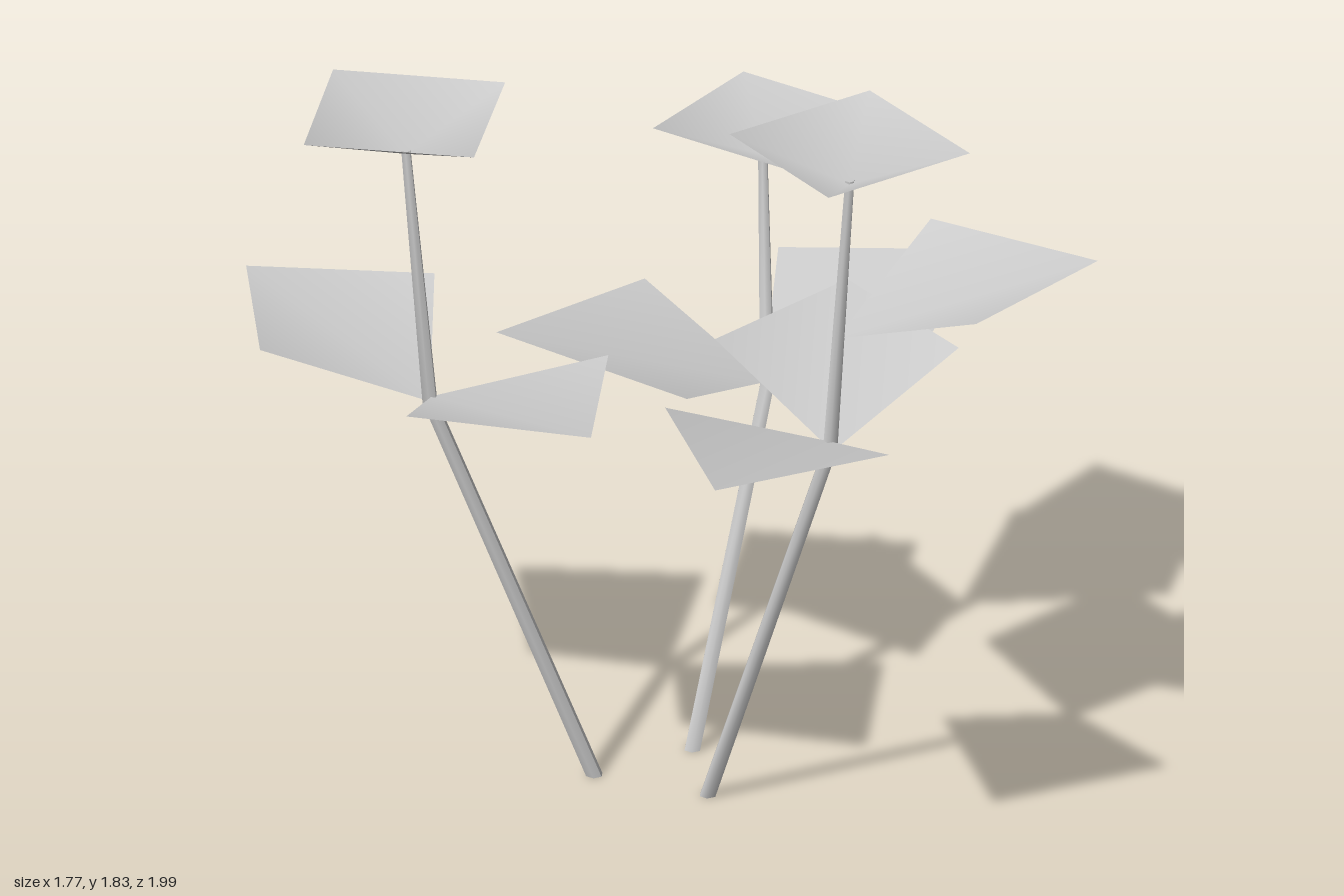
import * as THREE from 'three';

const stemMaterial = new THREE.MeshStandardMaterial({ color: 0xcccccc });
const leafMaterial = new THREE.MeshStandardMaterial({ color: 0xcccccc, side: THREE.DoubleSide });

// Bent, tapering six-sided stem: horizontal rings at base, bend and tip.
function makeStem(points) {
  const geometry = new THREE.CylinderGeometry(1, 1, 2, 6, 2);
  const radii = [0.021, 0.019, 0.012];
  const pos = geometry.attributes.position;
  for (let i = 0; i < pos.count; i++) {
    const ring = Math.round(pos.getY(i)) + 1;
    const [x, y, z] = points[ring];
    pos.setXYZ(i, x + pos.getX(i) * radii[ring], y, z + pos.getZ(i) * radii[ring]);
  }
  geometry.computeVertexNormals();
  const mesh = new THREE.Mesh(geometry, stemMaterial);
  mesh.name = 'stem';
  return mesh;
}

// Thin leaf fanned out from its low attachment point to rim corners [x, z].
// Three corners make a side leaf folded on its midrib, four a cupped top leaf.
function makeLeaf(root, rimY, corners) {
  const vertices = [...root];
  corners.forEach(([x, z]) => vertices.push(x, rimY, z));
  const index = [];
  for (let i = 1; i < corners.length; i++) index.push(0, i, i + 1);
  if (corners.length === 4) index.push(0, 4, 1);
  const geometry = new THREE.BufferGeometry();
  geometry.setAttribute('position', new THREE.Float32BufferAttribute(vertices, 3));
  geometry.setIndex(index);
  geometry.computeVertexNormals();
  const mesh = new THREE.Mesh(geometry, leafMaterial);
  mesh.name = corners.length === 4 ? 'topLeaf' : 'sideLeaf';
  return mesh;
}

const plants = [
  {
    name: 'leftPlant',
    stem: [[-0.02, 0, 0.01], [0.285, 0.83, 0.01], [0.345, 1.395, -0.045]],
    leaves: [
      [[0.345, 1.39, -0.045], 1.48, [[0.16, 0.14], [0.53, 0.14], [0.53, -0.23], [0.16, -0.23]]],
      [[0.28, 0.835, 0], 0.99, [[0.47, 0.355], [0.88, 0.175], [0.63, -0.2]]],
      [[0.29, 0.83, 0], 0.965, [[0.355, -0.39], [-0.08, -0.51], [-0.115, 0.06]]],
    ],
  },
  {
    name: 'frontPlant',
    stem: [[-0.2, 0, 0.18], [-0.2, 1.0, 0.53], [-0.22, 1.73, 0.6]],
    leaves: [
      [[-0.22, 1.72, 0.6], 1.825, [[-0.485, 0.725], [-0.1, 0.86], [0.04, 0.475], [-0.34, 0.34]]],
      [[-0.21, 1.3, 0.555], 1.45, [[-0.21, 0.955], [0.23, 0.995], [0.19, 0.545]]],
      [[-0.19, 0.99, 0.53], 1.135, [[0.19, 0.625], [0.34, 0.2], [-0.1, 0.13]]],
      [[-0.2, 1.02, 0.53], 1.17, [[-0.525, 0.285], [-0.82, 0.635], [-0.43, 0.86]]],
    ],
  },
  {
    name: 'backPlant',
    stem: [[-0.265, 0, -0.1], [-0.53, 1.0, -0.385], [-0.535, 1.64, -0.45]],
    leaves: [
      [[-0.535, 1.63, -0.45], 1.735, [[-0.81, -0.55], [-0.635, -0.185], [-0.265, -0.355], [-0.44, -0.725]]],
      [[-0.53, 1.0, -0.385], 1.135, [[-0.19, -0.61], [-0.41, -0.995], [-0.76, -0.71]]],
      [[-0.52, 1.01, -0.385], 1.157, [[-0.89, -0.2], [-0.735, 0.22], [-0.35, 0]]],
    ],
  },
];

export function createModel() {
  const model = new THREE.Group();
  model.name = 'leafyPlants';
  for (const { name, stem, leaves } of plants) {
    const plant = new THREE.Group();
    plant.name = name;
    plant.add(makeStem(stem));
    for (const leaf of leaves) plant.add(makeLeaf(...leaf));
    model.add(plant);
  }
  return model;
}
